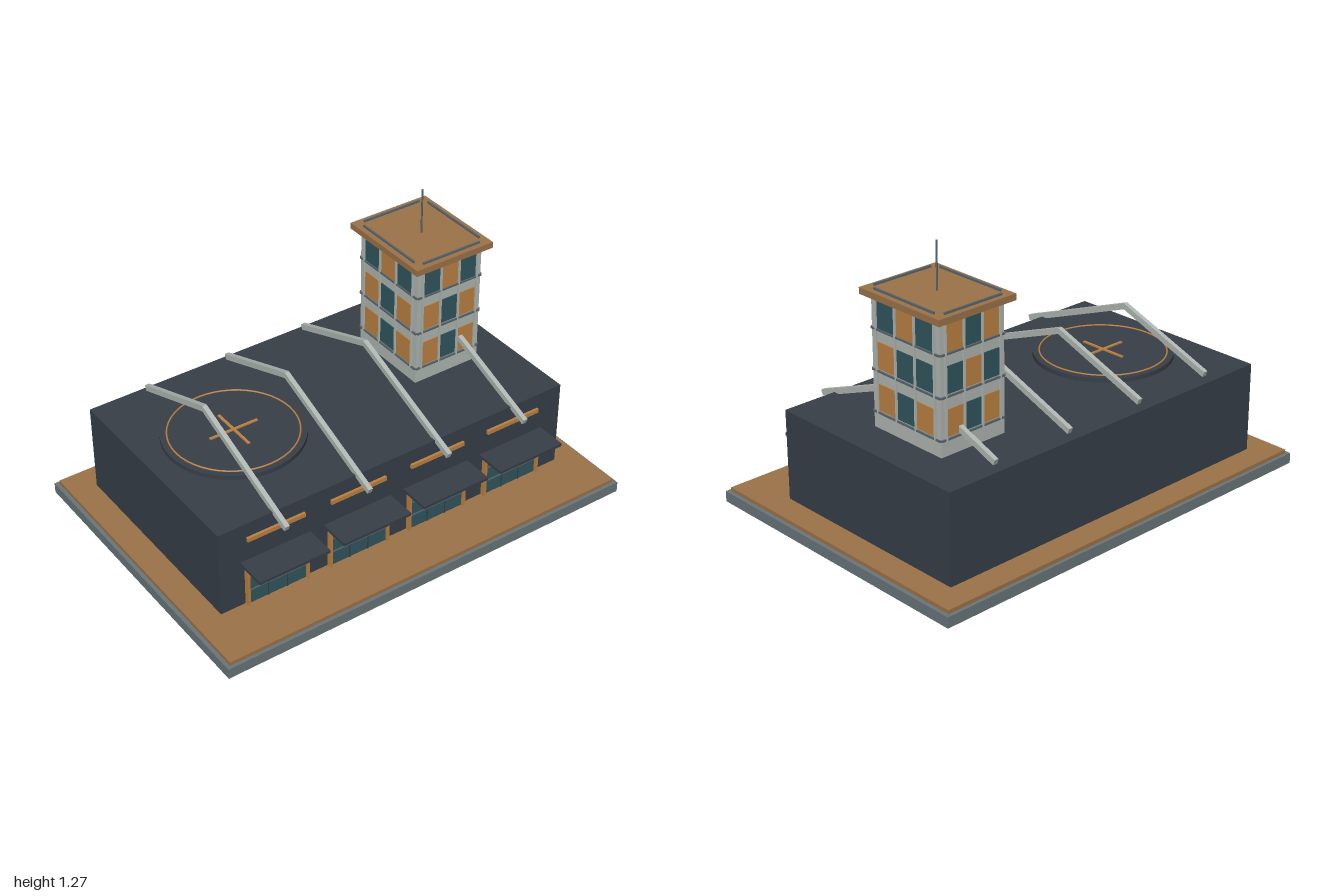
import * as THREE from 'three';

const mat = (color) => new THREE.MeshStandardMaterial({ color });
const M = {
  stone: mat(0x69767a), deck: mat(0x9c7348), orange: mat(0xbd8142), dark: mat(0x373f48),
  glass: mat(0x30565f), pale: mat(0xb0b7b2), steel: mat(0x59656b),
};

function add(parent, name, geometry, material, x, y, z) {
  const mesh = new THREE.Mesh(geometry, material);
  mesh.name = name;
  mesh.position.set(x, y, z);
  parent.add(mesh);
  return mesh;
}

// Box given by its extents on each axis
function block(parent, name, material, [x0, x1], [y0, y1], [z0, z1]) {
  return add(parent, name, new THREE.BoxGeometry(x1 - x0, y1 - y0, z1 - z0), material,
    (x0 + x1) / 2, (y0 + y1) / 2, (z0 + z1) / 2);
}

function group(parent, name, x = 0, y = 0, z = 0) {
  const g = new THREE.Group();
  g.name = name;
  g.position.set(x, y, z);
  parent.add(g);
  return g;
}

// Garage bay: door, frame, canopy and the strip above
function garageBay(parent, x) {
  const g = group(parent, 'garageBay', x);
  block(g, 'door', M.glass, [-0.137, 0.137], [0.066, 0.258], [0.43, 0.445]);
  for (const y of [0.135, 0.205]) block(g, 'doorRail', M.steel, [-0.137, 0.137], [y - 0.003, y + 0.003], [0.44, 0.449]);
  for (const s of [-1, 1]) {
    block(g, 'doorMullion', M.dark, [s * 0.046 - 0.002, s * 0.046 + 0.002], [0.066, 0.258], [0.44, 0.448]);
    block(g, 'doorPost', M.orange, [s * 0.143 - 0.006, s * 0.143 + 0.006], [0.066, 0.258], [0.43, 0.458]);
  }
  block(g, 'doorHeader', M.orange, [-0.149, 0.149], [0.258, 0.272], [0.43, 0.458]);
  block(g, 'canopy', M.dark, [-0.167, 0.167], [0.273, 0.286], [0.43, 0.577]);
  block(g, 'lightStrip', M.orange, [-0.137, 0.137], [0.386, 0.405], [0.438, 0.45]);
}

// Sloped beam between two points in the z-y plane
function beam(parent, name, x, [z0, y0], [z1, y1]) {
  const length = Math.hypot(z1 - z0, y1 - y0);
  const m = add(parent, name, new THREE.BoxGeometry(0.021, 0.026, length), M.pale, x, (y0 + y1) / 2, (z0 + z1) / 2);
  m.rotation.x = -Math.atan2(y1 - y0, z1 - z0);
  if (z1 < z0) m.rotation.x = Math.atan2(y1 - y0, z0 - z1);
}

// Landing pad with ring and cross
function landingPad(parent) {
  const g = group(parent, 'landingPad', -0.467, 0, -0.068);
  add(g, 'padDisc', new THREE.CylinderGeometry(0.305, 0.305, 0.02, 48), M.dark, 0, 0.489, 0);
  const ring = add(g, 'padRing', new THREE.TorusGeometry(0.276, 0.004, 6, 48), M.orange, 0, 0.5, 0);
  ring.rotation.x = Math.PI / 2;
  block(g, 'padCrossBar', M.orange, [-0.116, 0.116], [0.497, 0.505], [-0.006, 0.006]);
  block(g, 'padCrossBar', M.orange, [-0.006, 0.006], [0.497, 0.505], [-0.116, 0.116]);
}

// One tower wall, facing local +z, with a 3 by 3 grid of panels
function towerWall(parent, angle, half, distance, pattern) {
  const g = group(parent, 'towerWall');
  g.rotation.y = angle;
  const pitch = half * 0.57;
  const rows = [0.61, 0.79, 0.963];
  rows.forEach((y, r) => {
    for (let c = 0; c < 3; c++) {
      const x = (c - 1) * pitch, w = pitch * 0.435;
      const material = pattern[r][c] === 'o' ? M.orange : M.glass;
      block(g, 'windowPanel', material, [x - w, x + w], [y - 0.058, y + 0.058], [distance - 0.005, distance + 0.004]);
    }
  });
  for (const y of [0.542, 0.722, 0.899])
    block(g, 'floorBand', M.steel, [-half, half], [y - 0.004, y + 0.004], [distance - 0.005, distance + 0.007]);
  for (const k of [-1.5, -0.5, 0.5, 1.5])
    block(g, 'mullion', M.pale, [k * pitch - 0.004, k * pitch + 0.004], [0.535, 1.036], [distance - 0.005, distance + 0.009]);
}

function tower(parent) {
  const g = group(parent, 'tower', 0.532, 0, -0.133);
  const hx = 0.166, hz = 0.2;
  block(g, 'towerBody', M.pale, [-hx, hx], [0.465, 1.036], [-hz, hz]);
  // rows from bottom to top
  towerWall(g, 0, hx, hz, ['oto', 'oto', 'tot']);
  towerWall(g, Math.PI / 2, hz, hx, ['oto', 'ott', 'tot']);
  towerWall(g, Math.PI, hx, hz, ['oto', 'tot', 'oto']);
  towerWall(g, -Math.PI / 2, hz, hx, ['oto', 'oto', 'tot']);
  block(g, 'towerRoof', M.deck, [-0.198, 0.198], [1.036, 1.064], [-0.234, 0.234]);
  for (const s of [-1, 1]) {
    block(g, 'roofRail', M.steel, [-0.147, 0.147], [1.062, 1.073], [s * 0.206 - 0.004, s * 0.206 + 0.004]);
    block(g, 'roofRail', M.steel, [s * 0.17 - 0.004, s * 0.17 + 0.004], [1.062, 1.073], [-0.177, 0.177]);
  }
  add(g, 'antenna', new THREE.CylinderGeometry(0.004, 0.004, 0.21, 8), M.steel, 0, 1.166, 0);
}

export function createModel() {
  const model = new THREE.Group();
  model.name = 'station';

  // Ground slab, deck and hall
  block(model, 'baseSlab', M.stone, [-1, 1], [0, 0.048], [-0.7, 0.7]);
  block(model, 'deck', M.deck, [-0.983, 0.983], [0.046, 0.065], [-0.685, 0.685]);
  block(model, 'hall', M.dark, [-0.865, 0.865], [0.064, 0.47], [-0.566, 0.435]);

  for (const x of [-0.6, -0.2, 0.2, 0.6]) {
    garageBay(model, x);
    beam(model, 'frontBeam', x, [0.52, 0.44], [-0.072, 0.668]);
    beam(model, 'backBeam', x, [-0.535, 0.494], [-0.068, 0.668]);
  }

  landingPad(model);
  tower(model);
  return model;
}
